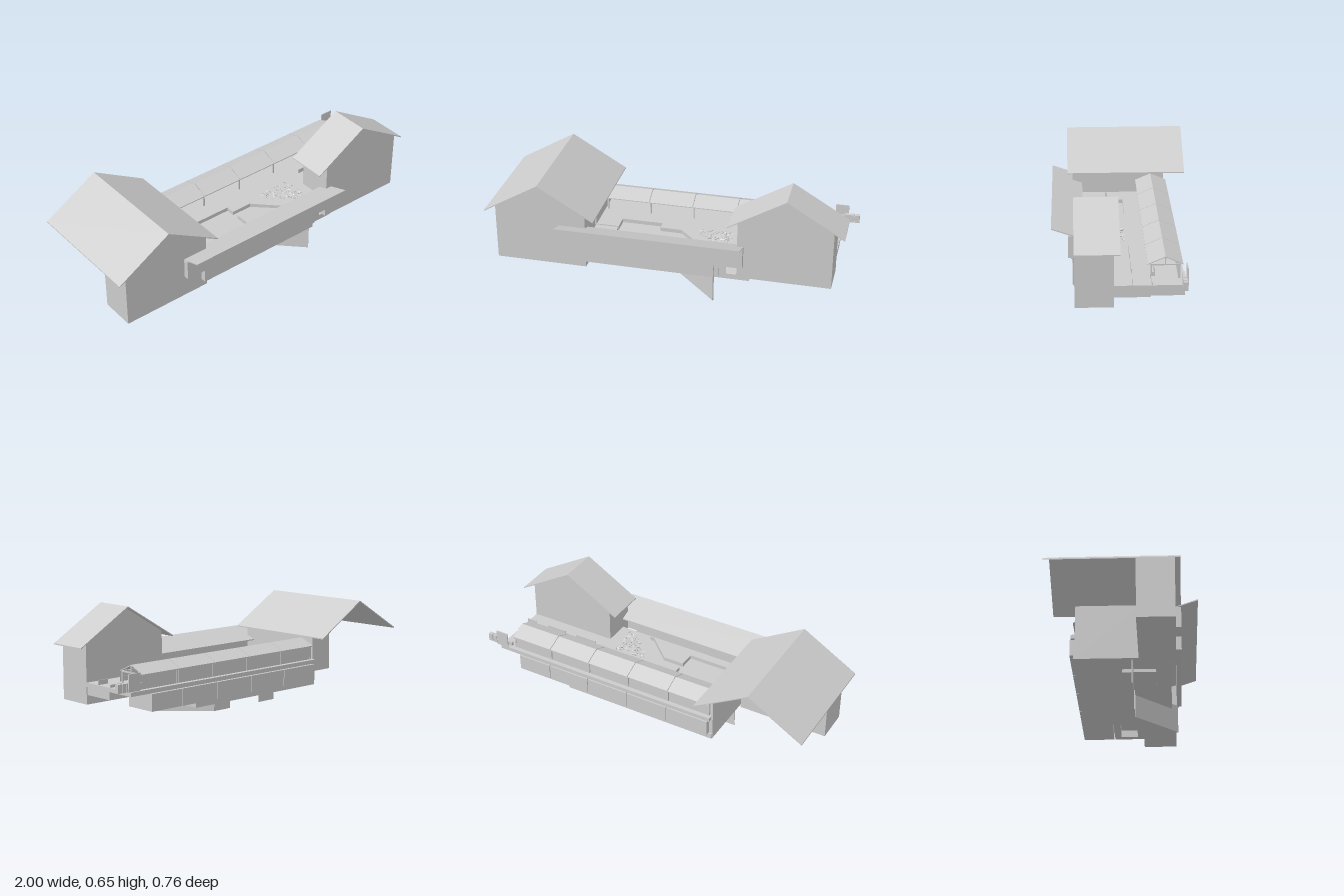
import * as THREE from 'three';

export function createModel() {
  const group = new THREE.Group();
  const grey = new THREE.MeshStandardMaterial({ color: 0xcccccc, side: THREE.DoubleSide });
  grey.name = 'plain grey';

  const add = (name, geometry) => {
    const mesh = new THREE.Mesh(geometry, grey);
    mesh.name = name;
    group.add(mesh);
    return mesh;
  };
  // Box given by its limits on each axis
  const box = (name, x0, x1, y0, y1, z0, z1) => {
    const g = new THREE.BoxGeometry(x1 - x0, y1 - y0, z1 - z0);
    g.translate((x0 + x1) / 2, (y0 + y1) / 2, (z0 + z1) / 2);
    return add(name, g);
  };
  // Outline in x and y, extruded along z
  const prism = (name, points, z0, z1) => {
    const shape = new THREE.Shape(points.map(p => new THREE.Vector2(...p)));
    const g = new THREE.ExtrudeGeometry(shape, { depth: z1 - z0, bevelEnabled: false });
    g.translate(0, 0, z0);
    return add(name, g);
  };
  // Outline in z and y, extruded along x
  const crossPrism = (name, points, x0, x1) => {
    const mesh = prism(name, points.map(([z, y]) => [-z, y]), 0, x1 - x0);
    mesh.geometry.rotateY(Math.PI / 2);
    mesh.geometry.translate(x0, 0, 0);
    return mesh;
  };
  const chevron = (c, half, eave, ridge, t) => [
    [c - half, eave], [c, ridge], [c + half, eave],
    [c + half, eave - t], [c, ridge - t], [c - half, eave - t],
  ];
  // Gabled house: solid walls and a thin overhanging roof
  const house = (name, c, floor, eave, ridge, wallZ, roofZ) => {
    const half = 0.31, w = 0.255, t = 0.006;
    const shoulder = ridge - (ridge - eave) * w / half - t;
    prism(name + 'Walls', [[c - w, floor], [c + w, floor], [c + w, shoulder],
      [c, ridge - t], [c - w, shoulder]], ...wallZ);
    prism(name + 'Roof', chevron(c, half, eave, ridge, t), ...roofZ);
  };
  house('largeHouse', -0.69, 0.11, 0.41, 0.592, [0.073, 0.265], [-0.382, 0.295]);
  house('smallHouse', 0.66, 0.16, 0.462, 0.646, [0.07, 0.265], [0.04, 0.266]);
  // Wall closing the platform beneath the large roof
  box('platformEndWall', -0.437, -0.427, 0.13, 0.437, -0.262, 0.073);

  // Base slab, basin and the body below the platform
  box('baseSlab', -0.435, 0.47, 0.13, 0.16, -0.27, 0.24);
  box('basinFloor', -0.3, -0.07, 0.112, 0.13, -0.02, 0.16);
  box('platformBody', -0.427, 0.785, 0.16, 0.25, -0.262, -0.11);
  box('deckEndWall', 0.46, 0.47, 0.16, 0.255, -0.11, 0.21);

  // Deck with openings for the basin and its channels
  const path = (Type, points) => new Type(points.map(([x, z]) => new THREE.Vector2(x, -z)));
  const deckShape = path(THREE.Shape, [[-0.427, 0.21], [0.41, 0.21], [0.41, 0.07],
    [0.915, 0.07], [0.915, -0.285], [-0.427, -0.285]]);
  deckShape.holes.push(path(THREE.Path, [[-0.3, -0.02], [-0.07, -0.02], [-0.07, 0.03],
    [0.05, 0.03], [0.22, 0.2], [0.195, 0.205], [0.05, 0.07], [-0.07, 0.07],
    [-0.07, 0.16], [-0.3, 0.16], [-0.3, 0.078], [-0.42, 0.078], [-0.42, 0.068], [-0.3, 0.068]]));
  const deck = new THREE.ExtrudeGeometry(deckShape, { depth: 0.022, bevelEnabled: false });
  deck.rotateX(-Math.PI / 2);
  deck.translate(0, 0.253, 0);
  add('deck', deck);
  box('channelBed', -0.427, 0.41, 0.245, 0.252, -0.11, 0.205);

  // U-shaped frame below the open end of the deck
  box('deckFrame', 0.62, 0.91, 0.21, 0.253, -0.11, -0.07);
  box('deckFrame', 0.62, 0.91, 0.21, 0.253, 0.03, 0.07);
  box('deckFrame', 0.87, 0.91, 0.21, 0.253, -0.07, 0.03);

  // Canopy bays: rear panels, posts and gabled roof sections
  const bay = 0.25, start = -0.415;
  for (let i = 0; i < 5; i++) {
    const x0 = start + i * bay, x1 = x0 + bay - 0.004;
    box('lowerPanel', x0, Math.min(x1, 0.785), 0.16, 0.25, -0.29, -0.26);
    box('rearPanel', x0, x1, 0.275, 0.35, -0.26, -0.252);
    crossPrism('canopyRoof', chevron(-0.187, 0.088, 0.353, 0.391, 0.005), x0, x1);
  }
  for (let i = 0; i <= 5; i++) {
    const x = Math.min(start + i * bay, 0.826);
    box('frontPost', x, x + 0.008, 0.275, 0.35, -0.12, -0.112);
    box('rearPost', x, x + 0.008, 0.275, 0.35, -0.262, -0.25);
    box('crossBeam', x, x + 0.008, 0.346, 0.353, -0.262, -0.112);
    box('kingPost', x, x + 0.006, 0.353, 0.386, -0.19, -0.184);
  }
  box('frontBeam', start, 0.834, 0.346, 0.353, -0.12, -0.112);

  // Low barriers along the deck
  for (const [x0, x1] of [[0.45, 0.58], [0.65, 0.77], [0.85, 0.912]])
    box('lowBarrier', x0, x1, 0.275, 0.3, -0.023, -0.02);
  box('endBarrier', 0.83, 0.912, 0.275, 0.29, -0.12, -0.115);
  box('bench', 0.72, 0.8, 0.275, 0.295, -0.138, -0.122);
  box('benchBack', 0.72, 0.8, 0.295, 0.318, -0.138, -0.132);

  // Signal at the end of the platform
  box('signalPlate', 0.862, 0.935, 0.28, 0.37, -0.294, -0.288);
  for (let i = 0; i < 3; i++)
    box('signalArm', 0.915 + i * 0.029, 0.94 + i * 0.029, 0.28, 0.325, -0.286, -0.264);
  box('signalRail', 0.84, 0.998, 0.29, 0.315, -0.282, -0.268);

  // Stepped front wall with a sloping awning
  prism('frontWall', [[-0.58, 0.348], [-0.58, 0.235], [-0.47, 0.235], [-0.47, 0.16],
    [0.285, 0.16], [0.285, 0.235], [0.44, 0.235], [0.44, 0.348]], 0.266, 0.295);
  box('frontWallStep', 0.285, 0.312, 0.165, 0.235, 0.266, 0.28);
  box('frontWallStep', 0.312, 0.35, 0.175, 0.235, 0.266, 0.275);
  crossPrism('awning', [[0.21, 0.332], [0.382, 0.392], [0.382, 0.386], [0.21, 0.326]], -0.58, 0.44);

  // Plates hanging beneath the channels
  box('hangingPlate', -0.42, -0.3, 0, 0.13, 0.035, 0.04);
  box('hangingPlate', -0.07, 0.05, 0, 0.16, 0.035, 0.04);
  const diagonal = new THREE.BoxGeometry(0.328, 0.16, 0.008);
  diagonal.rotateY(-Math.PI / 4);
  diagonal.translate(0.165, 0.08, 0.155);
  add('diagonalPlate', diagonal);

  // Shrub made of small loose leaves lying low on the deck
  let seed = 7;
  const rnd = () => (seed = (seed * 16807) % 2147483647) / 2147483647;
  const leaves = [];
  while (leaves.length < 500 * 9) {
    const x = 0.15 + rnd() * 0.19, z = rnd() * 0.18;
    if (z > (x - 0.12) * 0.85 + 0.02) continue;
    const y = 0.268 + rnd() * 0.012;
    for (let k = 0; k < 3; k++)
      leaves.push(x + (rnd() - 0.5) * 0.024, y + (rnd() - 0.5) * 0.014, z + (rnd() - 0.5) * 0.024);
  }
  const foliage = new THREE.BufferGeometry();
  foliage.setAttribute('position', new THREE.Float32BufferAttribute(leaves, 3));
  foliage.computeVertexNormals();
  add('shrubLeaves', foliage);
  return group;
}
